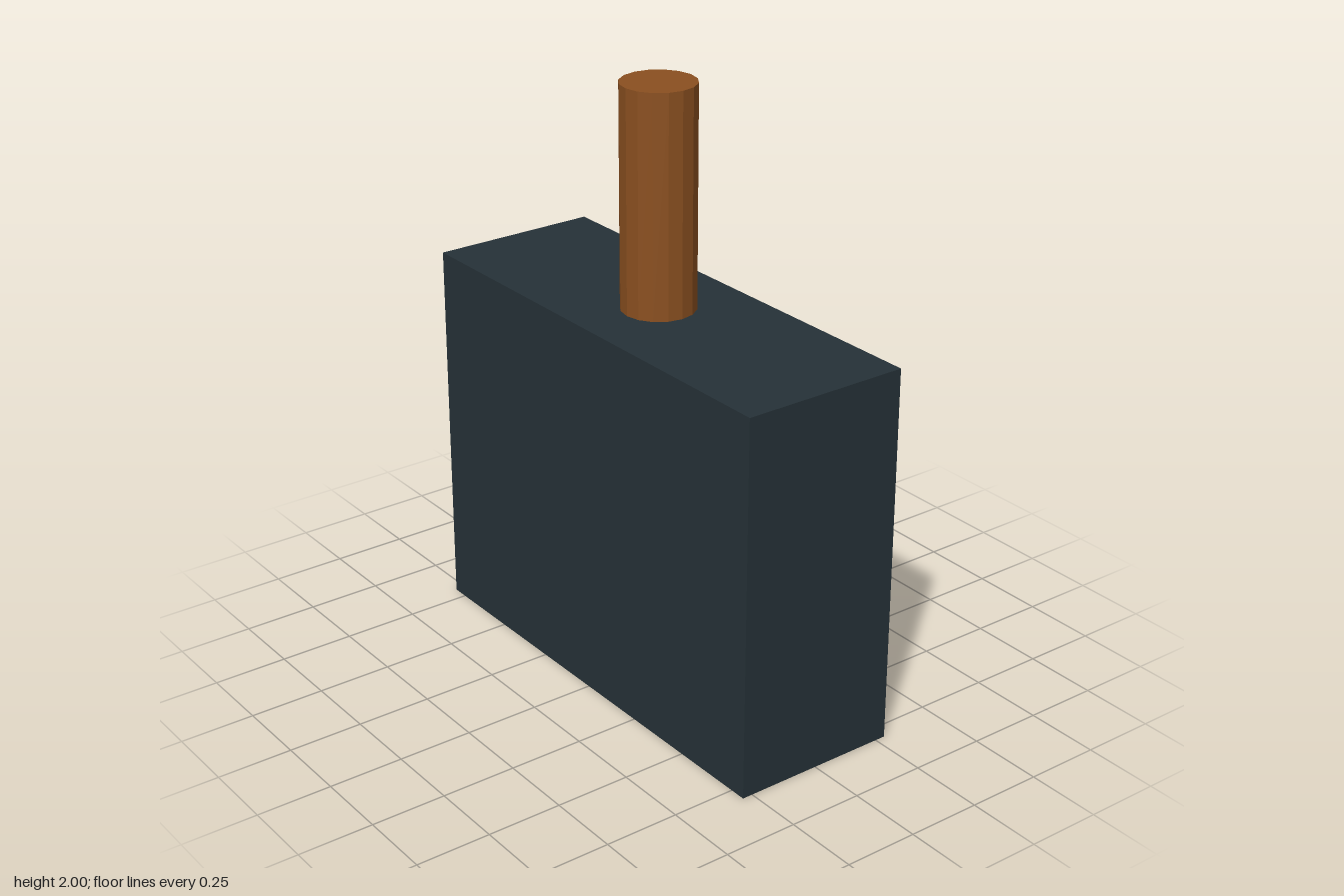
import * as THREE from 'three';

const HEAD = { width: 1.61, height: 1.27, depth: 0.57 };
const HANDLE = { radius: 0.122, top: 2, sides: 16 };

function addPart(group, name, geometry, color, y) {
  const material = new THREE.MeshStandardMaterial({ color, flatShading: true });
  const mesh = new THREE.Mesh(geometry, material);
  mesh.name = name;
  mesh.position.y = y;
  group.add(mesh);
}

export function createModel() {
  const model = new THREE.Group();
  model.name = 'mallet';

  // Heavy block standing on the ground
  const head = new THREE.BoxGeometry(HEAD.width, HEAD.height, HEAD.depth);
  addPart(model, 'head', head, 0x263238, HEAD.height / 2);

  // Faceted wooden handle rising from the middle of the block
  const length = HANDLE.top - HEAD.height;
  const handle = new THREE.CylinderGeometry(HANDLE.radius, HANDLE.radius, length, HANDLE.sides);
  addPart(model, 'handle', handle, 0x8b5020, HEAD.height + length / 2);

  return model;
}
